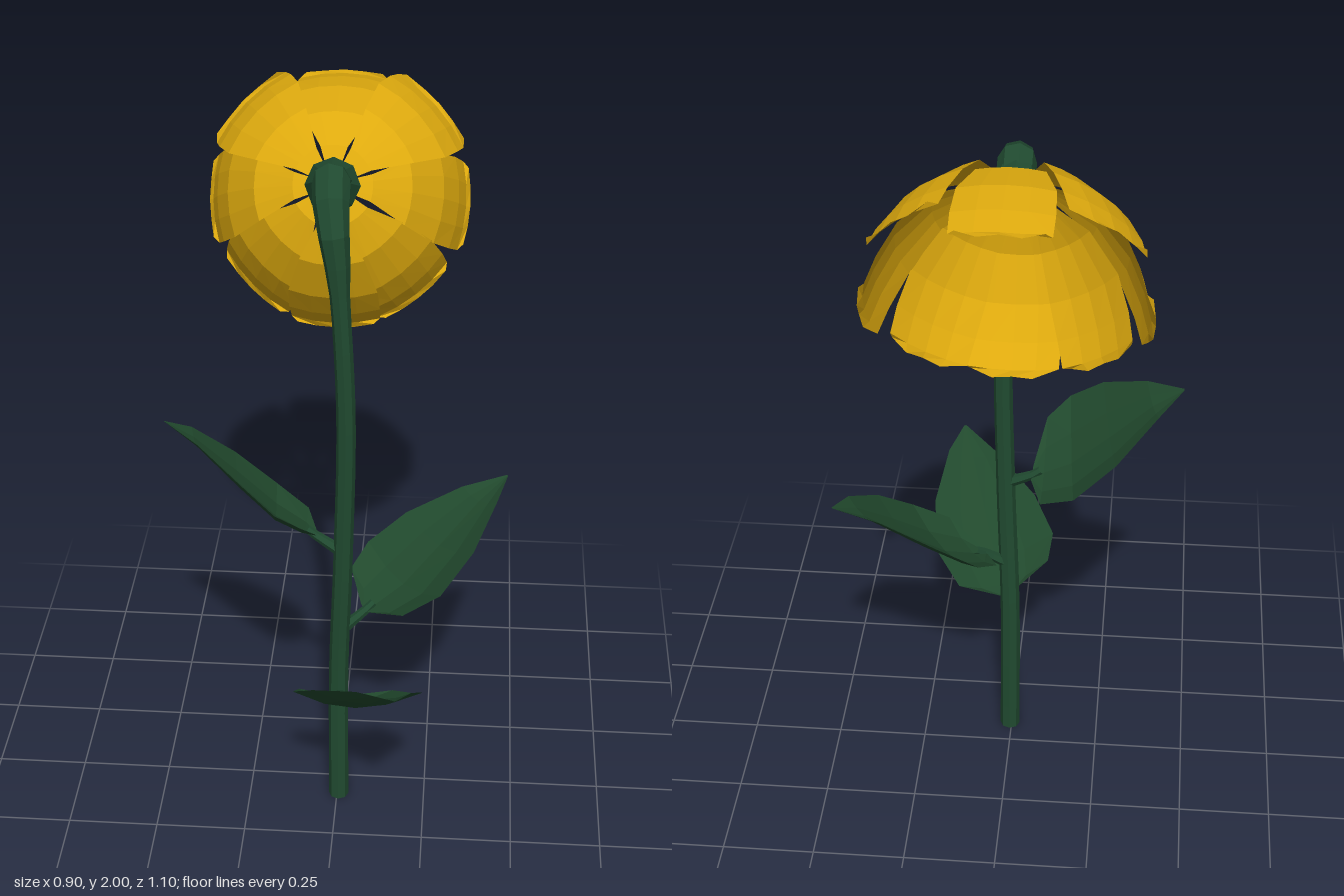
import * as THREE from 'three';

const V = (x, y, z) => new THREE.Vector3(x, y, z);
const mat = (name, color, side = THREE.FrontSide) => {
  const m = new THREE.MeshStandardMaterial({ color, side });
  m.name = name;
  return m;
};

// Facet a geometry so every face is flat
function facet(geo) {
  const g = geo.index ? geo.toNonIndexed() : geo;
  g.computeVertexNormals();
  return g;
}

// Grid surface: fn(row, u) returns a point, u runs from -1 to 1
function sheet(rows, cols, fn) {
  const pos = [], idx = [];
  for (let i = 0; i < rows; i++) {
    for (let j = 0; j <= cols; j++) pos.push(...fn(i, (j / cols) * 2 - 1).toArray());
  }
  for (let i = 0; i < rows - 1; i++) {
    for (let j = 0; j < cols; j++) {
      const a = i * (cols + 1) + j, b = a + cols + 1;
      idx.push(a, b, a + 1, b, b + 1, a + 1);
    }
  }
  const g = new THREE.BufferGeometry();
  g.setAttribute('position', new THREE.Float32BufferAttribute(pos, 3));
  g.setIndex(idx);
  return facet(g);
}

// Tube whose radius follows radiusAt(t)
function taperedTube(points, segments, sides, radiusAt) {
  const curve = new THREE.CatmullRomCurve3(points, false, 'centripetal');
  const g = new THREE.TubeGeometry(curve, segments, 1, sides);
  const p = g.attributes.position, v = V(0, 0, 0);
  for (let i = 0; i < p.count; i++) {
    const t = Math.floor(i / (sides + 1)) / segments;
    const c = curve.getPointAt(t);
    v.fromBufferAttribute(p, i).sub(c).multiplyScalar(radiusAt(t)).add(c);
    p.setXYZ(i, v.x, v.y, v.z);
  }
  return facet(g);
}

export function createModel() {
  const root = new THREE.Group();
  root.name = 'flower';
  const stemGreen = mat('stem green', 0x204a30);
  const leafGreen = mat('leaf green', 0x21492d, THREE.DoubleSide);
  const petalYellow = mat('petal yellow', 0xdeaa0e, THREE.DoubleSide);
  const centreBrown = mat('centre brown', 0xa65c28);
  const add = (parent, name, geo, material) => {
    const m = new THREE.Mesh(geo, material);
    m.name = name;
    parent.add(m);
    return m;
  };

  // Stem with the nodding neck, thickening towards the flower
  add(root, 'stem', taperedTube([
    V(0.005, 0, 0.077), V(0.005, 0.45, 0.077), V(0.018, 0.85, 0.092), V(0.025, 1.3, 0.105),
    V(0.002, 1.72, 0.1), V(-0.01, 1.81, 0.084), V(-0.018, 1.868, 0.03),
    V(-0.02, 1.87, -0.03), V(-0.02, 1.84, -0.08),
  ], 26, 8, t => (t < 0.8 ? 0.028 - 0.005 * t : 0.024 + 0.024 * Math.min(1, (t - 0.8) / 0.14))), stemGreen);
  const foot = add(root, 'stemFoot', facet(new THREE.CircleGeometry(0.028, 8)), stemGreen);
  foot.rotation.x = Math.PI / 2;
  foot.position.set(0.005, 0.001, 0.077);

  // Leaves: stalk start, blade base, tip, sideways roll, skew of the outline
  const along = [0, 0.08, 0.27, 0.52, 0.8, 1];
  const half = [0.02, 0.13, 0.165, 0.14, 0.066, 0.003];
  const sag = [0, 0.014, 0.034, 0.018, -0.005, 0];
  const leaves = [
    ['frontLeaf', V(0.006, 0.37, 0.085), V(0.02, 0.415, 0.155), V(0.178, 0.73, 0.553), -0.26, 0.09],
    ['leftLeaf', V(0.012, 0.59, 0.08), V(0.075, 0.64, 0.055), V(0.45, 0.94, -0.185), 0.04, -0.05],
    ['rightLeaf', V(0.018, 0.855, 0.092), V(-0.055, 0.895, 0.075), V(-0.452, 1.21, 0.04), 0.48, -0.09],
  ];
  for (const [name, node, base, tip, roll, skew] of leaves) {
    const group = new THREE.Group();
    group.name = name;
    root.add(group);
    const side = V(tip.z - base.z, 0, base.x - tip.x).normalize();
    add(group, 'leafBlade', sheet(along.length, 4, (i, u) => {
      const t = along[i] + skew * u * 4 * along[i] * (1 - along[i]);
      const p = base.clone().lerp(tip, t).addScaledVector(side, half[i] * u);
      p.y += half[i] * (0.32 * u * u + roll * u) - sag[i];
      return p;
    }), leafGreen);
    const mid = node.clone().lerp(base, 0.5);
    const end = base.clone().lerp(tip, 0.06);
    add(group, 'leafStalk', taperedTube([node, mid, base, end], 4, 6, t => 0.017 - 0.006 * t), stemGreen);
  }

  // Flower head: local +y runs out along the axis of the cup
  const head = new THREE.Group();
  head.name = 'flowerHead';
  head.position.set(-0.022, 1.83, -0.09);
  head.rotation.x = -Math.PI * 2 / 3;
  root.add(head);

  const calyx = add(head, 'calyx', facet(new THREE.CylinderGeometry(0.07, 0.046, 0.06, 8)), stemGreen);
  calyx.position.y = -0.028;
  const centre = add(head, 'flowerCentre', facet(new THREE.CylinderGeometry(0.046, 0.05, 0.05, 8)), centreBrown);
  centre.position.y = 0.022;

  // Petals: radius, height along the axis and half width of each row
  const r = [0.03, 0.1, 0.19, 0.268, 0.306, 0.325, 0.336];
  const h = [0, 0.008, 0.06, 0.16, 0.25, 0.32, 0.345];
  const w = [0.012, 0.034, 0.082, 0.114, 0.118, 0.116, 0.1];
  // Angle around the cup, length, outward shift and width factors
  const petals = [
    [0, 1, 0, 1], [46, 0.77, 0.014, 1.1], [92, 1.04, 0.006, 1], [140, 0.97, -0.002, 1],
    [180, 0.96, 0.004, 1], [-137, 0.97, -0.002, 1], [-92, 1.04, 0.012, 1], [-47, 0.77, 0.014, 1.1],
  ];
  for (const [angle, length, out, wide] of petals) {
    const petal = add(head, 'petal', sheet(r.length, 4, (i, u) => {
      const x = w[i] * u * wide;
      const tipDrop = i === 6 ? 0.025 * u * u + (u === 0 ? 0.012 : 0) : 0;
      const shift = i > 1 ? out : 0;
      return V(x, h[i] * length - tipDrop, r[i] - 0.38 * x * x / r[i] + shift);
    }), petalYellow);
    petal.rotation.y = THREE.MathUtils.degToRad(angle);
  }
  return root;
}
